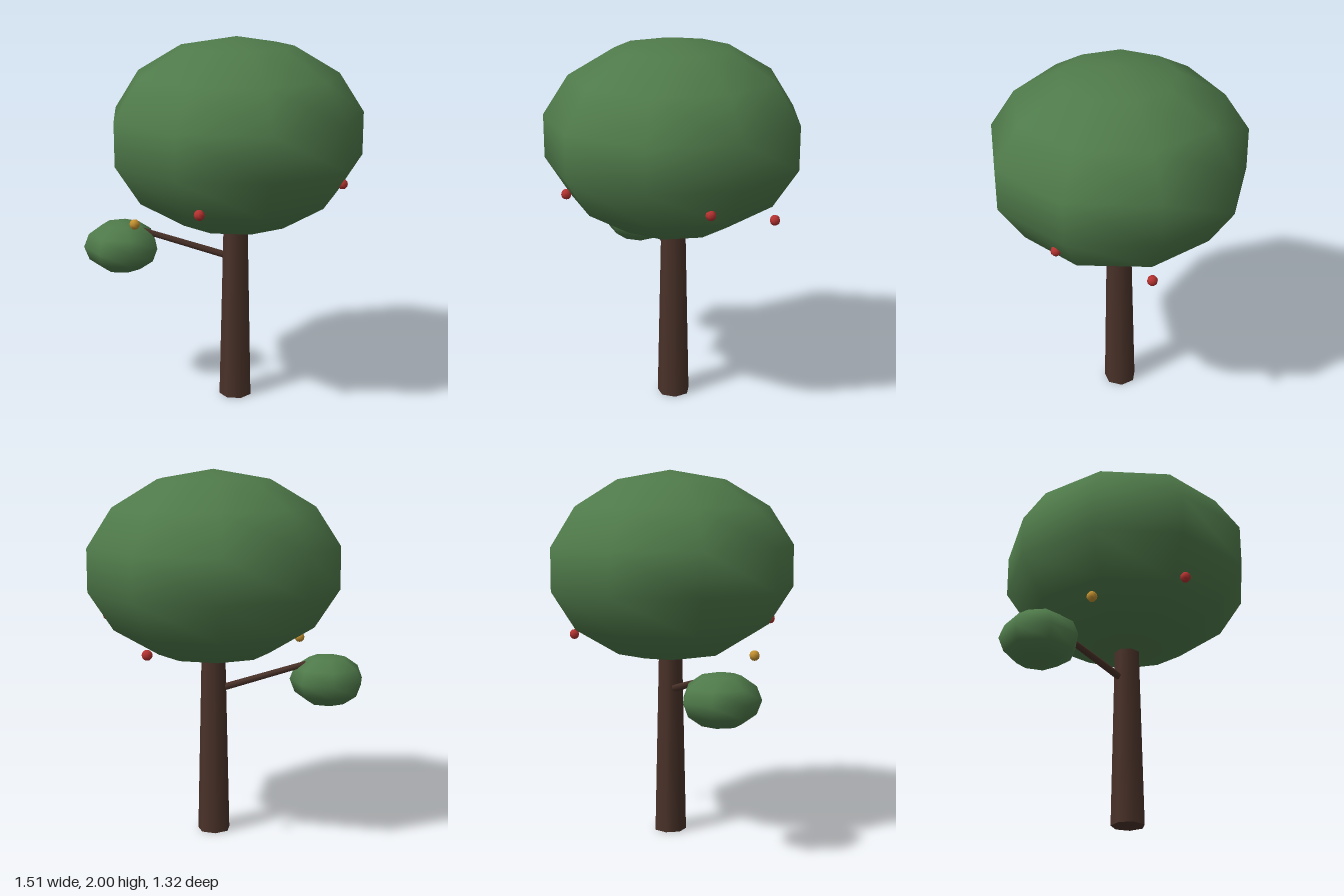
import * as THREE from 'three';

const paint = (name, color) => {
  const m = new THREE.MeshStandardMaterial({ color });
  m.name = name;
  return m;
};

export function createModel() {
  const tree = new THREE.Group();
  tree.name = 'tree';
  const leaf = paint('leafGreen', 0x4f7a4a);
  const bark = paint('barkBrown', 0x4a3229);
  const red = paint('fruitRed', 0xb43230);
  const gold = paint('fruitGold', 0xc2902f);

  const add = (name, geometry, material, x, y, z) => {
    const mesh = new THREE.Mesh(geometry, material);
    mesh.name = name;
    mesh.position.set(x, y, z);
    tree.add(mesh);
    return mesh;
  };

  // Squashed low-sided ball with one corner pointing to the back
  const blob = (radius, height, sides, rows) =>
    new THREE.SphereGeometry(1, sides, rows)
      .rotateY(-Math.PI / 2)
      .scale(radius, height, radius);

  // Foliage
  add('canopy', blob(0.7, 0.52, 9, 7), leaf, 0.08, 1.48, 0.02);
  add('sideFoliage', blob(0.209, 0.145, 7, 6), leaf, -0.55, 0.845, 0.02);

  // Tapered trunk, its top hidden in the canopy
  const trunk = new THREE.CylinderGeometry(0.066, 0.09, 1.05, 7).rotateY(Math.PI);
  add('trunk', trunk, bark, 0.08, 0.525, 0.02);

  // Branch rising from the trunk into the side foliage
  const start = new THREE.Vector3(0.08, 0.797, 0.02);
  const end = new THREE.Vector3(-0.46, 0.945, 0.02);
  const along = end.clone().sub(start);
  const middle = start.clone().add(end).multiplyScalar(0.5);
  const branch = add('branch', new THREE.CylinderGeometry(0.017, 0.021, along.length(), 5),
    bark, middle.x, middle.y, middle.z);
  branch.quaternion.setFromUnitVectors(new THREE.Vector3(0, 1, 0), along.normalize());

  // Fruit around the lower canopy
  const fruit = new THREE.SphereGeometry(0.028, 8, 6);
  [
    [red, -0.05, 1.18, 0.575],
    [red, 0.65, 1.225, 0.025],
    [red, 0.445, 1.085, -0.41],
    [gold, -0.43, 1.04, 0.275],
  ].forEach(([material, x, y, z], i) => add(`fruit${i + 1}`, fruit, material, x, y, z));

  return tree;
}
